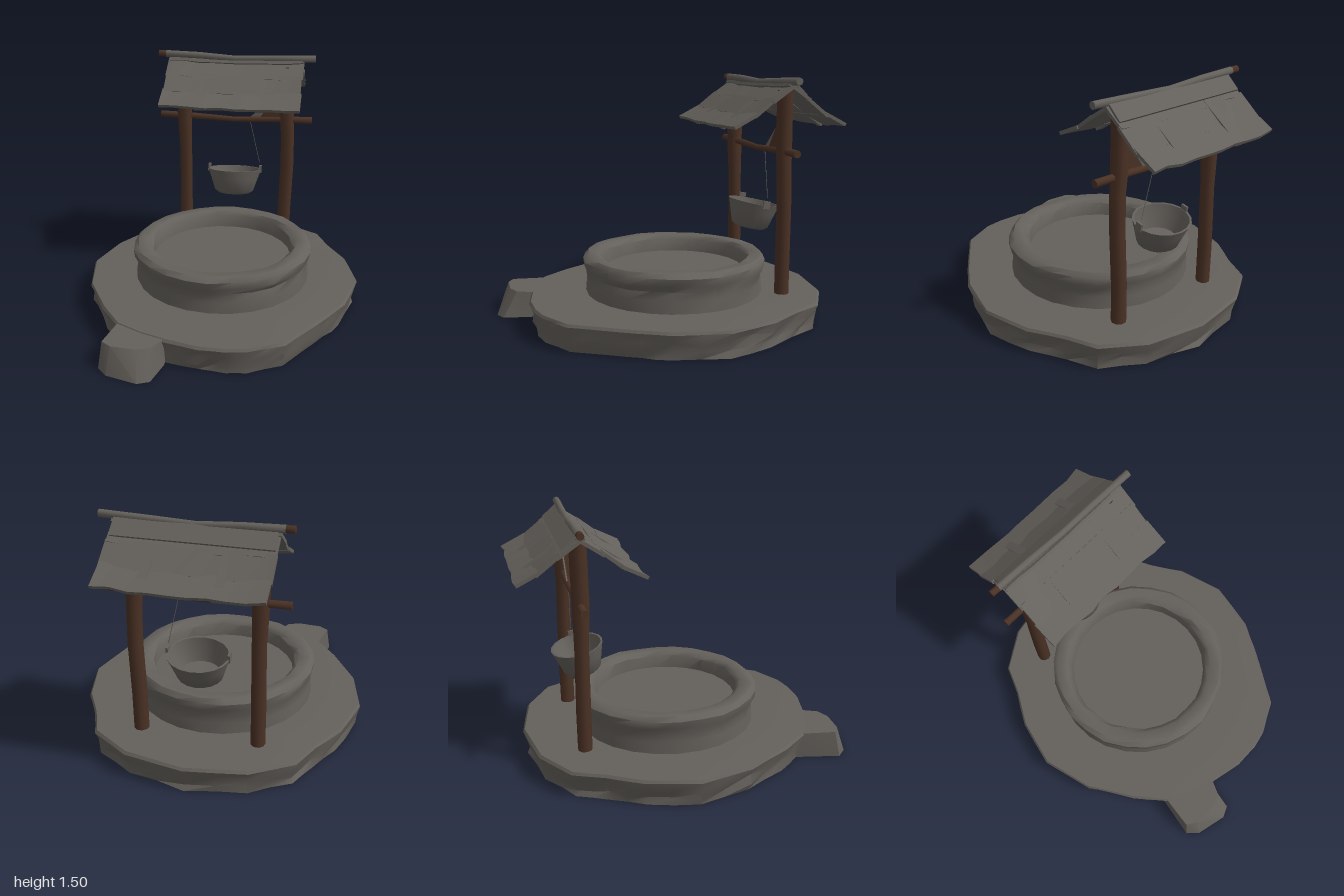
import * as THREE from 'three';
import { toCreasedNormals } from 'three/addons/utils/BufferGeometryUtils.js';

const stone = new THREE.MeshStandardMaterial({ color: 0x64605b, side: THREE.DoubleSide });
stone.name = 'weathered grey';
const wood = new THREE.MeshStandardMaterial({ color: 0x4a3124, side: THREE.DoubleSide });
wood.name = 'dark brown wood';

// Repeatable noise in -1..1
const noise = (i, j) => {
  const s = Math.sin(i * 127.1 + j * 311.7) * 43758.5453;
  return (s - Math.floor(s)) * 2 - 1;
};

// Skin over a stack of equal-length loops of [x, y, z]; caps close the first and last loop
function loft(loops, capStart, capEnd, crease = 0.6) {
  const n = loops[0].length, pos = loops.flat(2), idx = [];
  for (let j = 0; j < loops.length - 1; j++)
    for (let i = 0; i < n; i++) {
      const a = j * n + i, b = j * n + (i + 1) % n;
      idx.push(a, b, b + n, a, b + n, a + n);
    }
  const cap = (loop, start, flip) => {
    const c = pos.length / 3;
    for (let k = 0; k < 3; k++) pos.push(loop.reduce((s, p) => s + p[k], 0) / n);
    for (let i = 0; i < n; i++) {
      const a = start + i, b = start + (i + 1) % n;
      idx.push(...(flip ? [b, a, c] : [a, b, c]));
    }
  };
  if (capStart) cap(loops[0], 0, true);
  if (capEnd) cap(loops[loops.length - 1], (loops.length - 1) * n, false);
  const g = new THREE.BufferGeometry();
  g.setAttribute('position', new THREE.Float32BufferAttribute(pos, 3));
  g.setIndex(idx);
  return toCreasedNormals(g, crease);
}

// Circle loop around [x, y, z] with radius r
const ring = (x, y, z, r, n, wobble = () => 0) => Array.from({ length: n }, (_, i) => {
  const a = (i / n) * Math.PI * 2, q = r + wobble(i);
  return [x + Math.sin(a) * q, y, z + Math.cos(a) * q];
});

// Bent log through [x, y, z, r] sections
const logGeometry = (sections, n = 9) => loft(sections.map(([x, y, z, r]) => ring(x, y, z, r, n)), true, true, 0.9);

export function createModel() {
  const model = new THREE.Group();
  const add = (name, geometry, material, parent = model) => {
    const m = new THREE.Mesh(geometry, material);
    m.name = name;
    parent.add(m);
    return m;
  };

  // Rough stone platform, hollow underneath
  const outline = [[0, 0.85], [0.16, 0.85], [0.28, 0.83], [0.48, 0.73], [0.6, 0.55], [0.71, 0.38], [0.8, 0.22],
    [0.88, -0.1], [0.8, -0.4], [0.68, -0.6], [0.6, -0.78], [0.36, -0.93], [0, -0.995], [-0.36, -0.93], [-0.6, -0.78],
    [-0.68, -0.6], [-0.8, -0.4], [-0.88, -0.1], [-0.81, 0.22], [-0.65, 0.49], [-0.51, 0.67], [-0.35, 0.75], [-0.2, 0.8]];
  // Midpoints give the side wall enough faces for its dents
  const edge = outline.flatMap((p, i) => {
    const q = outline[(i + 1) % outline.length];
    return [p, [(p[0] + q[0]) / 2, (p[1] + q[1]) / 2]];
  });
  const wall = [[0, 0.965, 0.012], [0.045, 0.965, 0.02], [0.095, 0.98, 0.015], [0.15, 0.997, 0.003], [0.166, 0.985, 0], [0.168, 0.75, 0]];
  add('platform', loft(wall.map(([y, s, w], j) => edge.map(([x, z], i) => {
    const k = s + noise(i, j) * w;
    return [x * k, y + (j > 0 && j < 3 ? noise(j, i) * 0.015 : 0), (z + 0.07) * k - 0.07];
  })), false, true), stone);

  // Loose step stone at the front
  const foot = [[-0.5, 0.62], [-0.2, 0.72], [-0.2, 0.8], [-0.24, 0.97], [-0.31, 1.0], [-0.5, 0.95], [-0.56, 0.89]].reverse();
  const crown = [[-0.5, 0.62], [-0.2, 0.72], [-0.21, 0.8], [-0.25, 0.88], [-0.33, 0.91], [-0.48, 0.9], [-0.54, 0.86]].reverse();
  add('stepStone', loft([foot.map(([x, z]) => [x, 0, z]).reverse(), crown.map(([x, z]) => [x, 0.16, z]).reverse()], false, true, 0.5), stone);

  // Well wall with a bulging rim and a shallow floor
  const rim = [[0.56, 0.15, 0], [0.555, 0.24, 0.008], [0.55, 0.29, 0.008], [0.57, 0.33, 0.006], [0.572, 0.375, 0.006],
    [0.545, 0.402, 0.006], [0.48, 0.4, 0.006], [0.45, 0.375, 0.008], [0.44, 0.29, 0]];
  add('wellWall', loft(rim.map(([r, y, w], j) =>
    ring(0, y, -0.08, r, 26, i => noise(i, j + 20) * w).map(([x, yy, z], i) => [x, yy + noise(i, 7) * w * 0.6, z])), false, false, 0.8), stone);
  add('wellFloor', new THREE.CircleGeometry(0.455, 26).rotateX(-Math.PI / 2).translate(0, 0.295, -0.08), stone);

  // Posts
  add('rightPost', logGeometry([[-0.352, 0.08, -0.66, 0.043], [-0.352, 0.4, -0.66, 0.044], [-0.348, 0.8, -0.655, 0.042],
    [-0.352, 1.05, -0.65, 0.05], [-0.355, 1.42, -0.655, 0.05]]), wood);
  add('leftPost', logGeometry([[0.348, 0.08, -0.665, 0.045], [0.35, 0.4, -0.665, 0.045], [0.362, 0.72, -0.66, 0.045],
    [0.36, 0.95, -0.655, 0.045], [0.35, 1.1, -0.655, 0.05], [0.35, 1.42, -0.655, 0.048]]), wood);

  // Horizontal logs: built upright from [x, y, z, r], then laid along x
  const beam = (name, sections, material) =>
    add(name, logGeometry(sections.map(([x, y, z, r]) => [-y, x, z, r]), 8).rotateZ(-Math.PI / 2), material);
  beam('crossbar', [[-0.52, 1.06, -0.655, 0.023], [-0.3, 1.055, -0.655, 0.022], [0, 1.042, -0.655, 0.018],
    [0.3, 1.055, -0.655, 0.022], [0.52, 1.055, -0.655, 0.024]], wood);
  beam('ridgeLogEnd', [[-0.525, 1.481, -0.66, 0.021], [-0.47, 1.48, -0.66, 0.021]], wood);
  beam('ridgeLog', [[-0.475, 1.48, -0.66, 0.023], [-0.25, 1.475, -0.66, 0.022], [0, 1.46, -0.657, 0.02],
    [0.25, 1.468, -0.655, 0.022], [0.53, 1.475, -0.65, 0.023]], stone);

  // Brace plate between crossbar and left post
  const plate = (name, points, z, material) => {
    const shape = new THREE.Shape(points.map(p => new THREE.Vector2(...p)));
    add(name, new THREE.ExtrudeGeometry(shape, { depth: 0.008, bevelEnabled: false }).translate(0, 0, z), material);
  };
  plate('brace', [[0.16, 1.05], [0.32, 1.05], [0.32, 1.24], [0.29, 1.24]], -0.655, wood);
  plate('braceEdge', [[0.1, 1.06], [0.19, 1.07], [0.3, 1.24], [0.27, 1.22]], -0.665, stone);

  // Roof: three overlapping, slightly warped shingle rows on each slope
  const slope = [[-0.01, 1.445], [0.115, 1.36], [0.225, 1.275], [0.345, 1.215]];
  for (const side of [1, -1]) {
    const roof = new THREE.Group();
    roof.name = side > 0 ? 'frontRoof' : 'backRoof';
    model.add(roof);
    for (let row = 0; row < 3; row++) {
      const [d0, y0] = slope[row], [d1, y1] = slope[row + 1];
      const length = Math.hypot(d1 - d0, y1 - y0) + 0.025;
      const g = new THREE.BoxGeometry(0.905 + noise(row, side) * 0.01, 0.02, length, 9, 1, 1);
      const p = g.attributes.position;
      for (let i = 0; i < p.count; i++) {
        const k = Math.round(p.getX(i) * 10), end = Math.sign(p.getZ(i));
        p.setY(i, p.getY(i) - 0.012 * (1 - (p.getX(i) / 0.45) ** 2) + noise(k, row + side * 5) * 0.004);
        if (end > 0) p.setZ(i, p.getZ(i) + noise(k, row * 3 + side) * 0.01);
      }
      g.rotateX(Math.atan2(y0 - y1, d1 - d0));
      g.translate(0, (y0 + y1) / 2 + 0.004, (d0 + d1) / 2);
      if (side < 0) g.rotateY(Math.PI);
      g.translate(0, 0, -0.65);
      add('shingleRow', toCreasedNormals(g, 0.5), stone, roof);
    }
    // Rafters below the shingles
    for (const x of [-0.2, 0.2]) {
      const g = new THREE.BoxGeometry(0.05, 0.025, 0.41).rotateX(side * 0.6);
      add('rafter', g.translate(x, 1.312, -0.65 + side * 0.17), stone, roof);
    }
  }
  // Cap board leaning on the ridge
  add('ridgeBoard', new THREE.BoxGeometry(0.88, 0.014, 0.12).rotateX(-0.72).translate(0, 1.432, -0.705), stone);

  // Rope
  const rope = new THREE.LineCurve3(new THREE.Vector3(0.1, 1.04, -0.655), new THREE.Vector3(0.172, 0.74, -0.645));
  add('rope', new THREE.TubeGeometry(rope, 1, 0.002, 5), stone);

  // Tilted open bucket with two ears
  const bucket = new THREE.Group();
  bucket.name = 'bucket';
  bucket.position.set(0, 0.69, -0.635);
  bucket.rotation.x = -0.19;
  model.add(bucket);
  const profile = [[0, -0.168], [0.11, -0.168], [0.135, -0.15], [0.165, -0.06], [0.186, 0], [0.172, 0], [0.152, -0.06], [0.12, -0.14], [0, -0.145]];
  const shell = new THREE.LatheGeometry(profile.map(p => new THREE.Vector2(...p)), 18).scale(1, 1, 0.86);
  add('bucketShell', toCreasedNormals(shell, 0.7), stone, bucket);
  for (const s of [-1, 1])
    add('bucketEar', new THREE.BoxGeometry(0.014, 0.05, 0.045).translate(s * 0.179, 0.005, 0), stone, bucket);

  return model;
}
